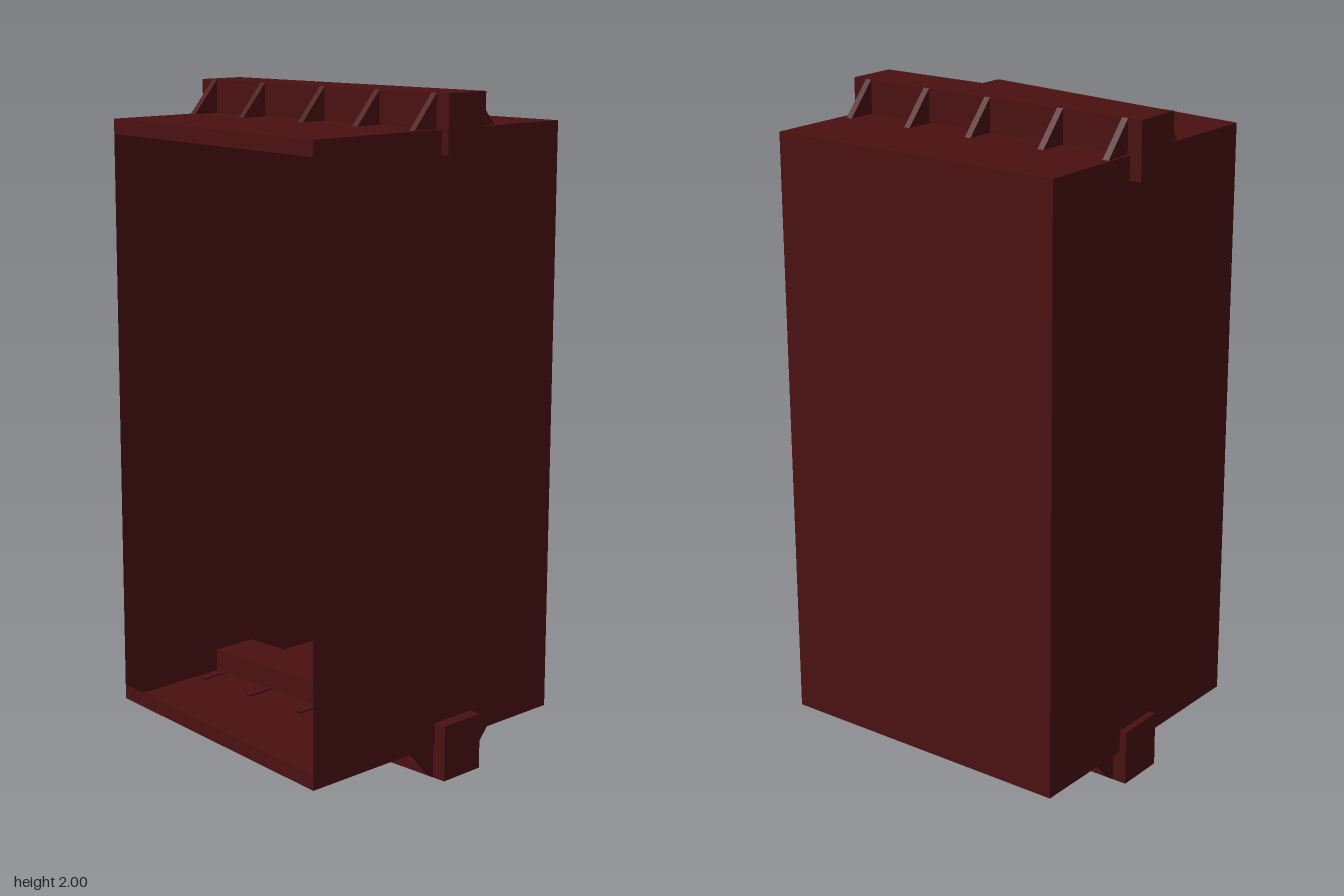
import * as THREE from 'three';

export function createModel() {
  const model = new THREE.Group();
  const material = new THREE.MeshStandardMaterial({
    color: 0x4a1010, flatShading: true, side: THREE.DoubleSide,
  });
  const add = (parent, name, geometry) => {
    const mesh = new THREE.Mesh(geometry, material);
    mesh.name = name;
    parent.add(mesh);
    return mesh;
  };

  // Plan of the thin shell as [x, z]; its open front edge is skewed
  const backLeft = [0.48, -0.5], backRight = [-0.475, -0.5];
  const frontLeft = [0.47, 0.495], frontRight = [-0.482, 0.38];
  const bottom = 0.1, top = 1.9, lip = 0.045;

  // Upright sheet between two plan corners
  const panel = (name, [x0, z0], [x1, z1], y0, y1) => {
    const mesh = add(model, name,
      new THREE.PlaneGeometry(Math.hypot(x1 - x0, z1 - z0), y1 - y0));
    mesh.position.set((x0 + x1) / 2, (y0 + y1) / 2, (z0 + z1) / 2);
    mesh.rotation.y = -Math.atan2(z1 - z0, x1 - x0);
  };
  panel('backWall', backLeft, backRight, bottom, top);
  panel('leftWall', frontLeft, backLeft, bottom, top);
  panel('rightWall', backRight, frontRight, bottom, top);
  panel('upperFrontLip', frontRight, frontLeft, top - lip, top);
  panel('lowerFrontLip', frontRight, frontLeft, bottom, bottom + lip);

  // Floor and roof sheets
  const plan = new THREE.Shape(
    [frontRight, frontLeft, backLeft, backRight].map(([x, z]) => new THREE.Vector2(x, -z)));
  for (const [name, y] of [['floor', bottom], ['roof', top]]) {
    add(model, name, new THREE.ShapeGeometry(plan).rotateX(-Math.PI / 2)).position.y = y;
  }

  // Crossbar with triangular gussets on both sides, in coordinates about mid height
  const makeBar = (name) => {
    const bar = new THREE.Group();
    bar.name = name;
    add(bar, 'crossbar', new THREE.BoxGeometry(1.015, 0.17, 0.155))
      .position.set(-0.0075, 0.915, -0.0775);
    const profile = new THREE.Shape([
      new THREE.Vector2(0, 0.895), new THREE.Vector2(0.094, 0.895), new THREE.Vector2(0, 1),
    ]);
    const gusset = new THREE.ExtrudeGeometry(profile, { depth: 0.02, bevelEnabled: false })
      .translate(0, 0, -0.01).rotateY(-Math.PI / 2);
    const backGusset = gusset.clone().rotateY(Math.PI);
    for (const x of [-0.46, -0.245, 0.007, 0.227, 0.445]) {
      add(bar, 'frontGusset', gusset).position.x = x;
      add(bar, 'backGusset', backGusset).position.set(x, 0, -0.155);
    }
    bar.position.y = 1;
    model.add(bar);
    return bar;
  };
  makeBar('upperBar');
  makeBar('lowerBar').rotation.z = Math.PI;

  return model;
}
